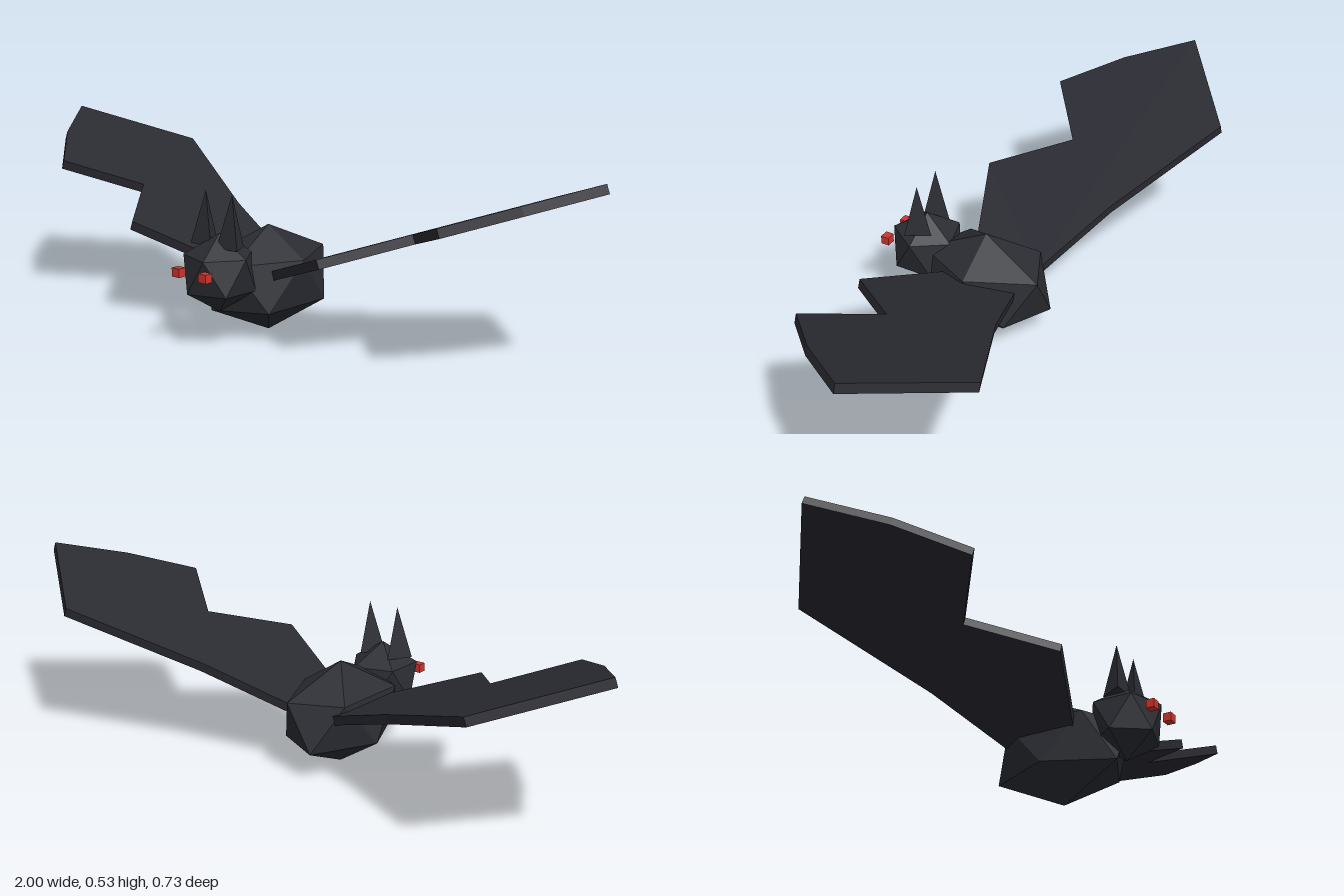
import * as THREE from 'three';

const flat = (name, color) => {
  const m = new THREE.MeshStandardMaterial({ color, flatShading: true });
  m.name = name;
  return m;
};

const WING_TILT = THREE.MathUtils.degToRad(20);
const WING_THICKNESS = 0.027;
// wing outline seen from above, as x (outward) and z
const WING_OUTLINE = [
  [0.065, -0.09], [0.335, -0.185], [0.71, -0.363], [0.995, -0.137],
  [0.862, 0.042], [0.71, 0.19], [0.52, 0.04], [0.357, 0.24], [0.085, 0.125],
];

// icosahedron with a vertex at the top and bottom, stretched to the given radii
function faceted(rx, ry, rz) {
  const g = new THREE.IcosahedronGeometry(1, 0);
  g.rotateZ(-Math.atan(2 / (1 + Math.sqrt(5))));
  g.scale(rx, ry, rz);
  g.computeVertexNormals();
  return g;
}

// flat scalloped slab, raised outward from the shoulder
function wingGeometry(side) {
  const pts = WING_OUTLINE.map(([x, z]) => new THREE.Vector2((side * x) / Math.cos(WING_TILT), -z));
  const g = new THREE.ExtrudeGeometry(new THREE.Shape(pts), { depth: WING_THICKNESS, bevelEnabled: false });
  g.translate(0, 0, -WING_THICKNESS / 2);
  g.rotateX(-Math.PI / 2);
  g.rotateZ(side * WING_TILT);
  return g;
}

export function createModel() {
  const group = new THREE.Group();
  group.name = 'bat';
  const fur = flat('charcoal fur', 0x2b2d33);
  const membrane = flat('dark wing membrane', 0x2a2a32);
  const red = flat('red eye', 0xd0342c);

  const add = (name, geometry, material, x, y, z) => {
    const mesh = new THREE.Mesh(geometry, material);
    mesh.name = name;
    mesh.position.set(x, y, z);
    group.add(mesh);
  };

  add('body', faceted(0.15, 0.154, 0.2246), fur, 0, 0.154, 0.041);
  add('head', faceted(0.112, 0.112, 0.114), fur, 0, 0.203, 0.241);

  for (const [label, side] of [['left', 1], ['right', -1]]) {
    // three-sided ear with its flat face forward
    const ear = new THREE.ConeGeometry(0.045, 0.151, 3);
    ear.rotateY(Math.PI);
    add(label + 'Ear', ear, fur, side * 0.05, 0.3535, 0.242);
    add(label + 'Eye', new THREE.BoxGeometry(0.028, 0.025, 0.025), red, side * 0.051, 0.2155, 0.35);
    add(label + 'Wing', wingGeometry(side), membrane, 0, 0.153, 0);
  }
  return group;
}
